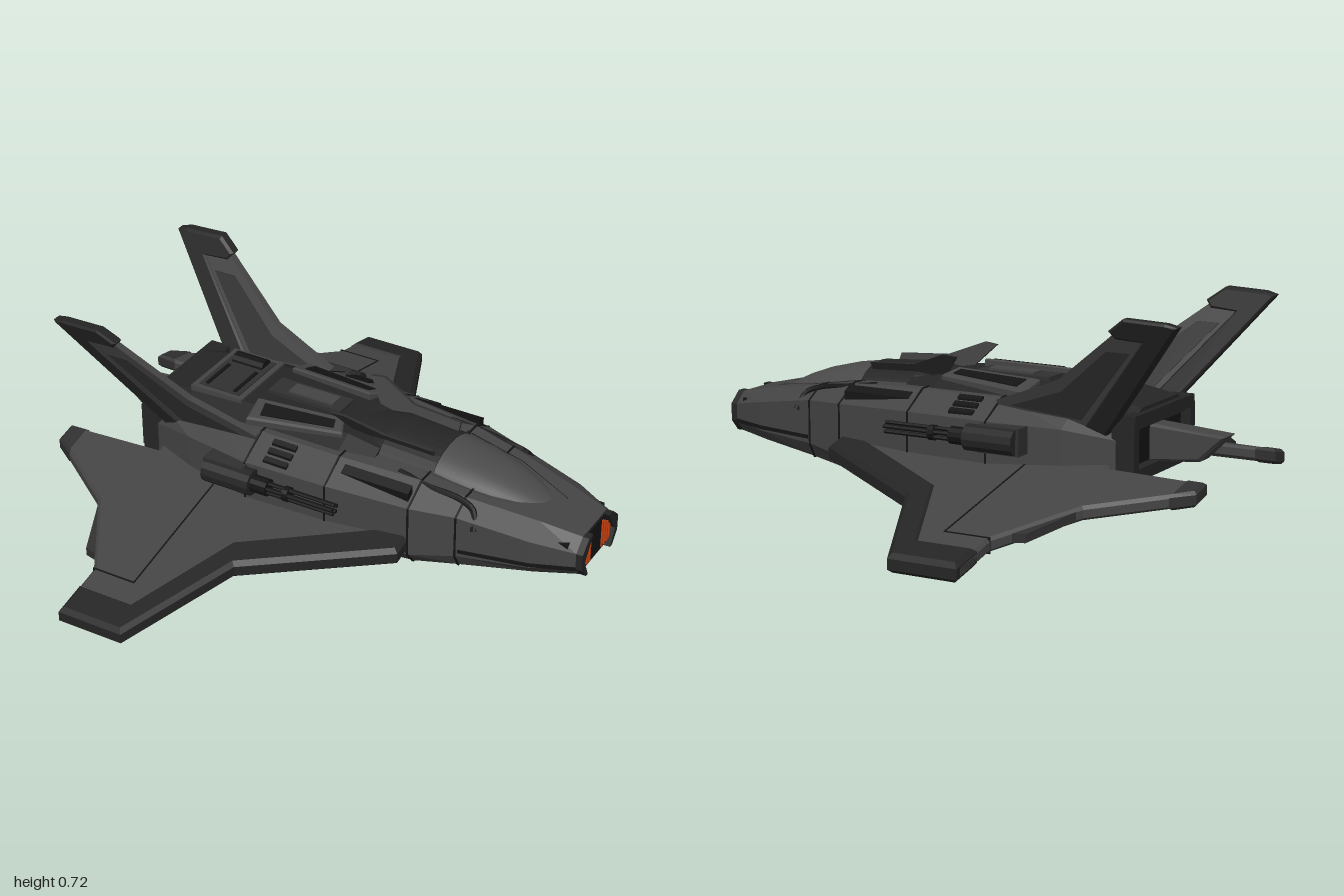
import * as THREE from 'three';

const colour = (name, hex) => {
  const m = new THREE.MeshStandardMaterial({ color: hex });
  m.name = name;
  return m;
};

export function createModel() {
  const hull = colour('hull grey', 0x444444);
  const trim = colour('dark trim', 0x252525);
  const panel = colour('panel grey', 0x303030);
  const glass = colour('canopy grey', 0x4a4a4a);
  const black = colour('black', 0x141414);
  const orange = colour('intake orange', 0xc8400f);
  const root = new THREE.Group();
  root.name = 'fighterCraft';

  // Faceted geometry whose faces always point outward
  function facet(geo) {
    const g = geo.index ? geo.toNonIndexed() : geo.clone();
    const p = g.attributes.position;
    const a = new THREE.Vector3(), b = new THREE.Vector3(), c = new THREE.Vector3();
    g.computeBoundingBox();
    const mid = g.boundingBox.getCenter(new THREE.Vector3());
    let volume = 0;
    for (let i = 0; i < p.count; i += 3) {
      a.fromBufferAttribute(p, i).sub(mid);
      b.fromBufferAttribute(p, i + 1).sub(mid);
      c.fromBufferAttribute(p, i + 2).sub(mid);
      volume += a.dot(b.cross(c));
    }
    if (volume < 0) {
      for (let i = 0; i < p.count; i += 3) {
        b.fromBufferAttribute(p, i + 1);
        c.fromBufferAttribute(p, i + 2);
        p.setXYZ(i + 1, c.x, c.y, c.z);
        p.setXYZ(i + 2, b.x, b.y, b.z);
      }
    }
    g.computeVertexNormals();
    return g;
  }
  function addMesh(name, geo, mat) {
    const mesh = new THREE.Mesh(geo, mat);
    mesh.name = name;
    root.add(mesh);
  }
  const add = (name, geo, mat) => addMesh(name, facet(geo), mat);
  function pair(name, geo, mat) {
    add(name + 'Left', geo, mat);
    add(name + 'Right', geo.clone().scale(1, 1, -1), mat);
  }
  const box = (x0, x1, y0, y1, z0, z1) => new THREE.BoxGeometry(x1 - x0, y1 - y0, z1 - z0)
    .translate((x0 + x1) / 2, (y0 + y1) / 2, (z0 + z1) / 2);
  // Outline extruded from depth d0 to d1, then placed by a rule
  function plate(points, d0, d1, place, bevel = 0) {
    const shape = new THREE.Shape(points.map(([x, y]) => new THREE.Vector2(x, y)));
    const g = new THREE.ExtrudeGeometry(shape, {
      depth: d1 - d0 - 2 * bevel, bevelEnabled: bevel > 0, bevelSize: bevel,
      bevelThickness: bevel, bevelOffset: -bevel, bevelSegments: 1,
    }).translate(0, 0, d0 + bevel);
    const p = g.attributes.position;
    for (let i = 0; i < p.count; i++) p.setXYZ(i, ...place(p.getX(i), p.getY(i), p.getZ(i)));
    return g;
  }
  // Skin through equal rings of [x, y, z], with optional end caps
  function loft(rings, capped = true) {
    const n = rings[0].length, index = [];
    for (let r = 0; r < rings.length - 1; r++) for (let i = 0; i < n; i++) {
      const a = r * n + i, b = r * n + (i + 1) % n;
      index.push(a, a + n, b, b, a + n, b + n);
    }
    const last = (rings.length - 1) * n;
    if (capped) for (let i = 1; i < n - 1; i++) index.push(0, i, i + 1, last, last + i + 1, last + i);
    const g = new THREE.BufferGeometry();
    g.setAttribute('position', new THREE.Float32BufferAttribute(rings.flat(2), 3));
    g.setIndex(index);
    g.computeVertexNormals();
    return g;
  }
  const mirrorRing = half => [...half, ...half.slice().reverse().map(([x, y, z]) => [x, y, -z])];

  // Fuselage: x, bottom y and z, lower side y, side z, upper side y, top z and y
  const sections = [
    [-0.63, 0.16, 0.18, 0.2, 0.22, 0.3, 0.19, 0.37],
    [-0.45, 0.11, 0.24, 0.15, 0.28, 0.33, 0.2, 0.39],
    [-0.2, 0.09, 0.27, 0.14, 0.33, 0.34, 0.22, 0.4],
    [0.1, 0.09, 0.26, 0.14, 0.32, 0.34, 0.22, 0.4],
    [0.39, 0.1, 0.24, 0.15, 0.285, 0.33, 0.19, 0.385],
    [0.54, 0.12, 0.21, 0.17, 0.24, 0.32, 0.17, 0.36],
    [0.78, 0.14, 0.15, 0.18, 0.19, 0.28, 0.12, 0.32],
    [0.92, 0.15, 0.1, 0.19, 0.135, 0.25, 0.09, 0.29],
  ];
  const hullRing = ([x, yb, zb, y1, zs, y2, zt, yt], e = 0) => mirrorRing([
    [x, yb - e, zb + e], [x, y1, zs + e], [x, y2, zs + e], [x, yt + e, zt + e]]);
  add('fuselage', loft(sections.map(s => hullRing(s))), hull);
  for (const s of sections.slice(2, 6)) {
    add('hullSeam', loft([-0.003, 0.003].map(d => hullRing([s[0] + d, ...s.slice(1)], 0.003))), black);
  }

  // Nose intake with orange slats, side jaws and jaw seam
  const facing = x => (u, v, d) => [x + d, v, u];
  add('intakeGrille', plate([[-0.085, 0.165], [0.085, 0.165], [0.12, 0.2], [0.07, 0.285], [-0.07, 0.285], [-0.12, 0.2]],
    0, 0.006, facing(0.92)), black);
  for (let i = 0; i < 4; i++) {
    const z = 0.043 + i * 0.018;
    pair('intakeSlat', box(0.92, 0.931, 0.172, 0.275 - i * 0.012, z, z + 0.008), orange);
  }
  pair('noseJaw', plate([[0.1, 0.15], [0.135, 0.19], [0.135, 0.25], [0.09, 0.29], [0.06, 0.29], [0.115, 0.21], [0.085, 0.15]],
    0, 0.025, facing(0.918)), trim);
  pair('jawSeam', loft([[0.55, 0.239], [0.78, 0.192], [0.92, 0.137]].map(([x, z]) =>
    [[x, 0.186, z - 0.01], [x, 0.198, z - 0.01], [x, 0.198, z + 0.003], [x, 0.186, z + 0.003]])), black);
  pair('noseSensor', box(0.855, 0.89, 0.255, 0.275, 0.105, 0.14), black);

  // Canopy: arched rear cover and smooth front glass
  const arch = ([x, w, h, base]) => Array.from({ length: 17 }, (_, i) => {
    const t = Math.PI * i / 16;
    return [x, base + (h - base) * Math.sin(t), w * Math.cos(t)];
  });
  const rear = [[0.06, 0.12, 0.43, 0.36], [0.2, 0.155, 0.448, 0.35], [0.4, 0.15, 0.435, 0.34]];
  const front = [[0.4, 0.147, 0.432, 0.34], [0.5, 0.142, 0.417, 0.33], [0.6, 0.122, 0.392, 0.32],
    [0.68, 0.095, 0.363, 0.31], [0.74, 0.06, 0.335, 0.3], [0.78, 0.012, 0.31, 0.3]];
  add('canopyCover', loft(rear.map(arch)), trim);
  addMesh('canopyGlass', loft(front.map(arch), false), glass);
  pair('canopyFrame', loft([[0.38, 0.14, 0.39], [0.6, 0.12, 0.352], [0.8, 0.045, 0.318]].map(([x, z, y]) =>
    [[x, y - 0.04, z], [x, y, z], [x, y - 0.012, z + 0.025], [x, y - 0.04, z + 0.03]])), trim);
  pair('canopyFlap', plate([[0.02, 0.5], [0.07, 0.505], [0.2, 0.455], [0.38, 0.445], [0.38, 0.4], [0.1, 0.41]],
    -0.006, 0.006, (x, y, d) => [x, y, 0.11 + (y - 0.46) * 0.65 + d]), panel);
  const hose = new THREE.CatmullRomCurve3([[0.3, 0.385, 0.18], [0.42, 0.37, 0.19], [0.53, 0.355, 0.185],
    [0.58, 0.335, 0.195], [0.6, 0.28, 0.23]].map(p => new THREE.Vector3(...p)));
  pair('hose', new THREE.TubeGeometry(hose, 20, 0.011, 8), black);

  // Dorsal deck and its equipment
  add('dorsalDeck', loft([[-0.66, -0.035], [-0.52, -0.01], [-0.28, 0], [0.08, 0], [0.2, -0.02]].map(([x, dy]) =>
    mirrorRing([[x, 0.33, 0.215], [x, 0.395 + dy, 0.205], [x, 0.432 + dy, 0.13]]))), trim);
  add('deckHatch', box(-0.53, -0.33, 0.4, 0.437, -0.14, 0.14), hull);
  add('hatchInset', box(-0.51, -0.35, 0.43, 0.441, -0.12, 0.12), panel);
  add('hatchDrum', new THREE.CylinderGeometry(0.032, 0.032, 0.12, 12).rotateZ(Math.PI / 2).translate(-0.43, 0.432, -0.085), black);
  for (const x of [-0.49, -0.38]) add('hatchRail', box(x, x + 0.012, 0.437, 0.446, -0.03, 0.11), black);
  add('spineBlock', box(-0.28, 0, 0.41, 0.445, -0.045, 0.045), panel);
  add('spineCap', box(-0.21, -0.04, 0.44, 0.452, -0.028, 0.028), hull);
  const onDeck = (x, z, d) => [x, 0.432 - 0.3 * (z - 0.13) + d, z];
  pair('deckPod', plate([[-0.28, 0.11], [0.04, 0.085], [0.07, 0.15], [-0.27, 0.205]], -0.03, 0.014, onDeck, 0.006), hull);
  pair('deckPodInset', plate([[-0.24, 0.13], [0.02, 0.11], [0.03, 0.14], [-0.23, 0.18]], 0, 0.018, onDeck), black);

  // Shoulder vents
  const shoulder = drop => (x, z, d) => [x, 0.34 + (0.325 - z) * 0.56 - drop + d, z];
  const slot = (x0, x1, z0, z1) => [[x0, z0], [x1, z0], [x1, z1], [x0, z1]];
  for (const z of [0.235, 0.265, 0.295]) {
    pair('shoulderVent', plate(slot(-0.14, -0.05, z, z + 0.016), -0.02, 0.01, shoulder(0)), black);
  }
  pair('longVent', plate(slot(0.13, 0.38, 0.235, 0.265), -0.02, 0.012, shoulder(0.014)), black);

  // Wings: angled slab with raised dark leading edge
  const onWing = (x, z, d) => [x, 0.18 - 0.216 * (z - 0.33) + d, z];
  pair('wing', plate([[0.36, 0.2], [0.36, 0.34], [-0.09, 0.59], [-0.27, 0.98], [-0.49, 0.98], [-0.49, 0.8],
    [-0.66, 0.53], [-0.95, 0.34], [-0.95, 0.27], [-0.6, 0.25], [-0.6, 0.18]], -0.023, 0.023, onWing, 0.01), hull);
  pair('wingEdge', plate([[0.39, 0.27], [0.39, 0.35], [-0.07, 0.61], [-0.25, 1], [-0.49, 1], [-0.49, 0.88],
    [-0.29, 0.88], [-0.13, 0.52], [0.3, 0.27]], -0.031, 0.031, onWing, 0.014), trim);
  pair('wingFlap', plate([[-0.66, 0.52], [-0.57, 0.73], [-0.52, 0.74], [-0.5, 0.7], [-0.6, 0.52]], -0.014, 0.014, onWing), panel);
  pair('wingRearTip', plate([[-0.952, 0.268], [-0.952, 0.343], [-0.88, 0.388], [-0.88, 0.265]], -0.026, 0.026, onWing, 0.01), panel);
  pair('wingSeam', plate([[-0.333, 0.29], [-0.328, 0.29], [-0.328, 0.805], [-0.49, 0.805], [-0.49, 0.8], [-0.333, 0.8]],
    -0.025, 0.025, onWing), black);

  // Tail fins leaning outward
  const onFin = (x, y, d) => [x, y, 0.235 + (y - 0.38) * 0.42 + d];
  pair('tailFin', plate([[-0.88, 0.7], [-0.7, 0.69], [-0.44, 0.49], [-0.2, 0.4], [-0.2, 0.33], [-0.56, 0.31]], -0.014, 0.014, onFin), hull);
  pair('finEdge', plate([[-0.9, 0.71], [-0.86, 0.72], [-0.72, 0.725], [-0.66, 0.68], [-0.68, 0.655], [-0.77, 0.65],
    [-0.51, 0.34], [-0.58, 0.31]], -0.023, 0.023, onFin, 0.008), trim);
  pair('finPanel', plate([[-0.72, 0.61], [-0.64, 0.61], [-0.45, 0.455], [-0.25, 0.385], [-0.5, 0.36]], -0.018, 0.018, onFin), panel);

  // Rotary side guns
  const rod = (r, x0, x1, y, z, n = 12) => new THREE.CylinderGeometry(r, r, x1 - x0, n)
    .rotateZ(Math.PI / 2).translate((x0 + x1) / 2, y, z);
  pair('gunHousing', rod(0.045, -0.33, -0.15, 0.29, 0.355), trim);
  pair('gunMount', box(-0.34, -0.19, 0.245, 0.335, 0.3, 0.365), panel);
  pair('gunCollar', rod(0.03, -0.15, -0.09, 0.29, 0.355), black);
  pair('gunMuzzle', rod(0.026, -0.03, -0.01, 0.29, 0.355), black);
  for (let i = 0; i < 5; i++) {
    const t = i * Math.PI * 0.4;
    pair('gunBarrel', rod(0.007, -0.1, 0.16, 0.29 + 0.016 * Math.cos(t), 0.355 + 0.016 * Math.sin(t), 6), black);
  }

  // Engine frame and tail spike
  add('engineRoof', box(-0.68, -0.6, 0.345, 0.385, -0.22, 0.22), trim);
  add('engineFloor', box(-0.68, -0.6, 0.17, 0.21, -0.22, 0.22), trim);
  pair('engineWall', box(-0.68, -0.6, 0.2, 0.36, 0.19, 0.225), trim);
  add('engineRecess', box(-0.645, -0.62, 0.19, 0.37, -0.2, 0.2), black);
  add('tailSpike', plate([[-0.91, 0.31], [-0.63, 0.33], [-0.63, 0.2], [-0.82, 0.22]], -0.043, 0.043, (x, y, d) => [x, y, d], 0.01), hull);
  return root;
}
